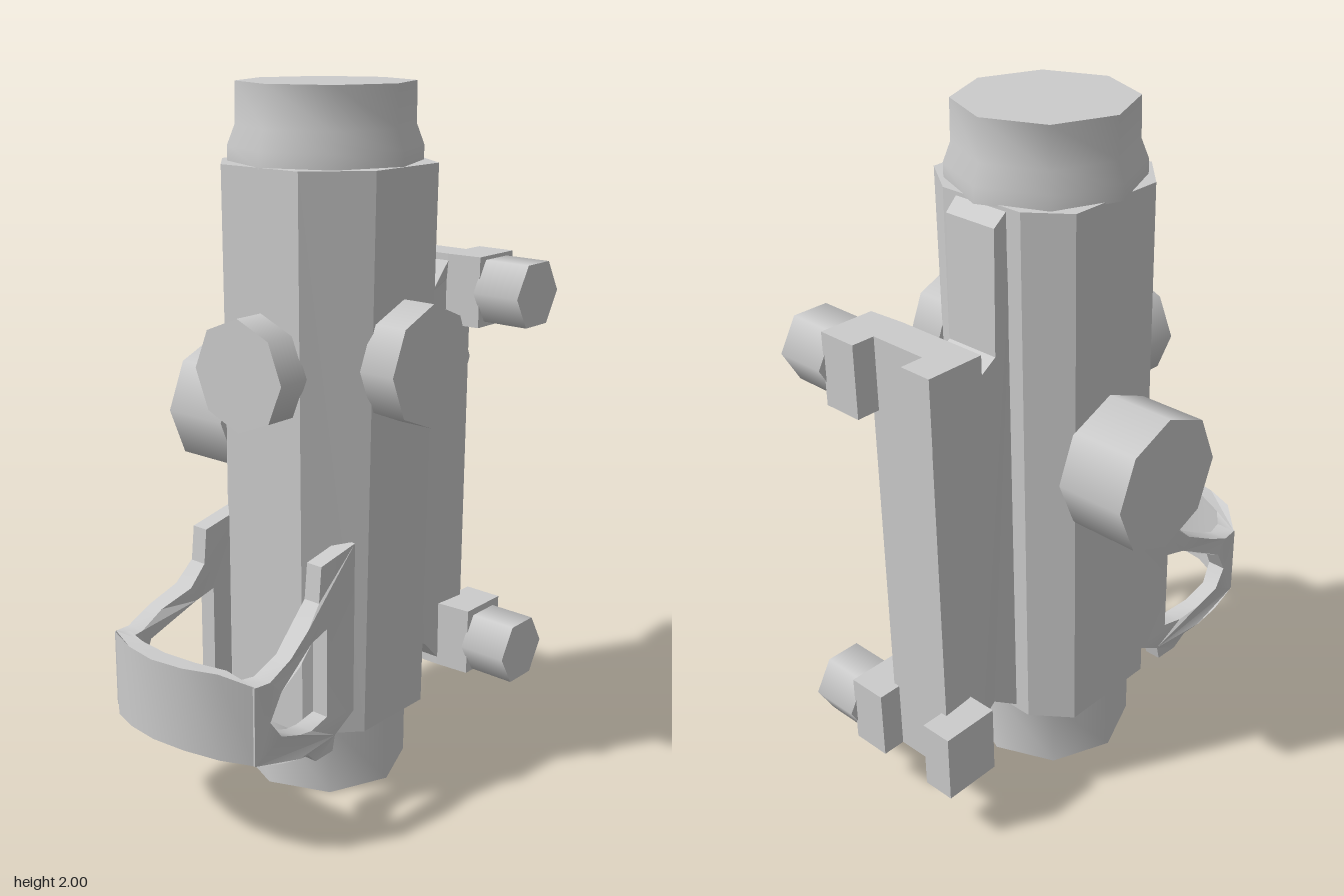
import * as THREE from 'three';
import { toCreasedNormals } from 'three/addons/utils/BufferGeometryUtils.js';

const CX = 0.042, CZ = -0.03; // main axis

// piecewise-linear lookup in a list of [key, value]
function lerpTable(table, t) {
  if (t <= table[0][0]) return table[0][1];
  for (let i = 1; i < table.length; i++) {
    const [a, va] = table[i - 1], [b, vb] = table[i];
    if (t <= b) return va + (vb - va) * (t - a) / (b - a);
  }
  return table[table.length - 1][1];
}

const shapeOf = (pts) => new THREE.Shape(pts.map(([a, b]) => new THREE.Vector2(a, b)));
const extrude = (shape, depth) => new THREE.ExtrudeGeometry(shape, { depth, bevelEnabled: false });

// move every vertex by a rule returning [x, y, z]
function mapVertices(geo, rule) {
  const p = geo.attributes.position;
  for (let i = 0; i < p.count; i++) p.setXYZ(i, ...rule(p.getX(i), p.getY(i), p.getZ(i)));
  geo.computeVertexNormals();
  return geo;
}

// plan outline in [x, z], raised from y0 to y1
function plan(pts, y0, y1) {
  return extrude(shapeOf(pts.map(([x, z]) => [x, -z])), y1 - y0).rotateX(-Math.PI / 2).translate(0, y0, 0);
}

export function createModel() {
  const group = new THREE.Group();
  const smooth = new THREE.MeshStandardMaterial({ color: 0xcccccc });
  const flat = new THREE.MeshStandardMaterial({ color: 0xcccccc, flatShading: true });

  const add = (name, geo, mat = flat, parent = group) => {
    const mesh = new THREE.Mesh(geo, mat);
    mesh.name = name;
    parent.add(mesh);
    return mesh;
  };

  // eight-sided housing, narrowing slightly towards the bottom
  const body = plan([
    [-0.095, 0.237], [0.178, 0.237], [0.315, 0.09], [0.315, -0.175],
    [0.178, -0.273], [-0.095, -0.273], [-0.205, -0.19], [-0.205, 0.12],
  ], 0.205, 1.79);
  mapVertices(body, (x, y, z) => {
    const t = (1.79 - y) / 1.585;
    return [x > 0.3 ? x - 0.017 * t : x, y, z > 0.2 ? z - 0.017 * t : z];
  });
  add('body', body);

  // end caps
  const lathe = (pts) => toCreasedNormals(
    new THREE.LatheGeometry(pts.map(([r, y]) => new THREE.Vector2(r, y)), 8), 1.1).translate(CX, 0, CZ);
  add('topCap', lathe([[0, 1.785], [0.268, 1.785], [0.268, 1.83], [0.247, 1.885], [0.245, 2], [0, 2]]), smooth);
  add('bottomCap', lathe([[0, 0], [0.245, 0], [0.245, 0.21], [0, 0.21]]), smooth);

  // knobs lying along x
  const knobX = (name, r, sides, x0, x1, y, z) =>
    add(name, new THREE.CylinderGeometry(r, r, x1 - x0, sides).rotateZ(Math.PI / 2), smooth)
      .position.set((x0 + x1) / 2, y, z);
  knobX('rightKnob', 0.199, 8, -0.412, -0.2, 1.038, -0.05);
  knobX('leftKnob', 0.17, 8, 0.3, 0.41, 1.27, -0.04);
  add('frontKnob', new THREE.CylinderGeometry(0.157, 0.157, 0.1, 8).rotateX(Math.PI / 2), smooth)
    .position.set(0.041, 1.25, 0.275);

  // rear rail: side profile in [z, y], its half width changing with z
  const railHalf = [[-0.575, 0.108], [-0.47, 0.1], [-0.415, 0.09], [-0.37, 0.083], [-0.315, 0.085], [-0.25, 0.09]];
  const rail = extrude(shapeOf([
    [-0.25, 0.22], [-0.275, 0.22], [-0.36, 0.28], [-0.415, 0.25], [-0.47, 0.19], [-0.575, 0.19],
    [-0.575, 1.47], [-0.47, 1.47], [-0.415, 1.39], [-0.37, 1.36], [-0.32, 1.395],
    [-0.313, 1.745], [-0.272, 1.78], [-0.25, 1.78],
  ]), 1);
  mapVertices(rail, (z, y, w) => [CX + (1 - 2 * w) * lerpTable(railHalf, z), y, z]);
  add('rearRail', rail);

  // two clamps with hexagonal nuts
  const clampPlan = [
    [-0.145, -0.47], [0.14, -0.47], [0.25, -0.478], [0.25, -0.645], [0.13, -0.645],
    [0.13, -0.575], [-0.047, -0.575], [-0.047, -0.645], [-0.145, -0.645],
  ];
  for (const [prefix, y0, y1, nutY] of [['upper', 1.28, 1.49, 1.387], ['lower', 0.165, 0.375, 0.262]]) {
    add(prefix + 'Clamp', plan(clampPlan, y0, y1));
    knobX(prefix + 'ClampNut', 0.106, 6, 0.245, 0.397, nutY, -0.561);
  }

  // front guard: two pierced arms joined by a curved band
  const guard = new THREE.Group();
  guard.name = 'frontGuard';
  group.add(guard);
  const outer = [[0.27, 0.243], [0.32, 0.25], [0.37, 0.267], [0.45, 0.276], [0.555, 0.268]];
  const inner = [[0.27, 0.192], [0.33, 0.192], [0.38, 0.217], [0.46, 0.224], [0.555, 0.203]];

  const armShape = shapeOf([
    [0.125, 0.785], [0.125, 0.28], [0.205, 0.235], [0.215, 0.19], [0.29, 0.19], [0.33, 0.228],
    [0.38, 0.243], [0.46, 0.265], [0.555, 0.293], [0.555, 0.517], [0.5, 0.515], [0.42, 0.553],
    [0.33, 0.597], [0.275, 0.655], [0.265, 0.757],
  ]);
  armShape.holes.push(new THREE.Path([
    [0.24, 0.57], [0.31, 0.553], [0.38, 0.515], [0.46, 0.475], [0.5, 0.4],
    [0.46, 0.345], [0.38, 0.315], [0.31, 0.292], [0.24, 0.305],
  ].map(([z, y]) => new THREE.Vector2(z, y))));
  for (const side of [1, -1]) {
    const arm = extrude(armShape, 1);
    mapVertices(arm, (z, y, w) => {
      const k = side > 0 ? 1 - w : w; // keeps the faces turned outward
      const a = lerpTable(inner, z), b = lerpTable(outer, z);
      return [CX + side * (a + (b - a) * k), y, z];
    });
    add(side > 0 ? 'leftGuardArm' : 'rightGuardArm', toCreasedNormals(arm, 0.6), smooth, guard);
  }

  const mirror = (half) => [...half, ...half.slice(0, -1).reverse().map(([x, z]) => [-x, z])];
  const bandOuter = mirror([[-0.268, 0.55], [-0.195, 0.613], [-0.1, 0.65], [0, 0.665]]);
  const bandInner = mirror([[-0.203, 0.55], [-0.185, 0.57], [-0.1, 0.603], [0, 0.613]]);
  const band = plan([...bandOuter, ...bandInner.reverse()].map(([x, z]) => [CX + x, z]), 0, 1);
  mapVertices(band, (x, y, z) => [x, y > 0.5 ? Math.min(0.555, 0.517 + (z - 0.55) * 1.5) : 0.292 + (z - 0.55) * 0.27, z]);
  add('guardBand', toCreasedNormals(band, 0.6), smooth, guard);

  return group;
}
